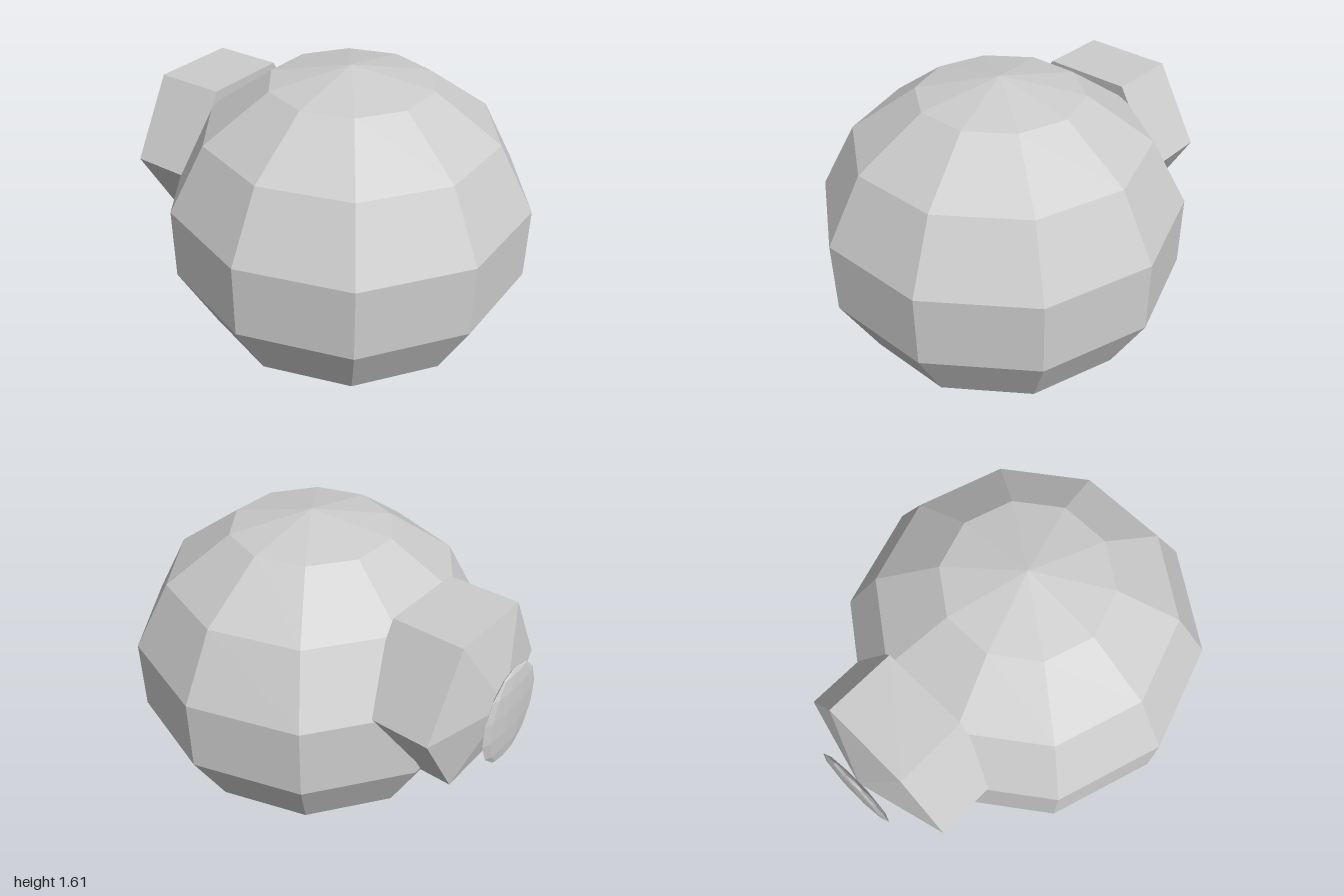
import * as THREE from 'three';

export function createModel() {
  const model = new THREE.Group();
  const grey = new THREE.MeshStandardMaterial({ color: 0xcccccc, flatShading: true });
  grey.name = 'grey';

  const add = (name, geometry, x, y, z) => {
    const mesh = new THREE.Mesh(geometry, grey);
    mesh.name = name;
    mesh.position.set(x, y, z);
    model.add(mesh);
  };

  // Faceted ellipsoid with ten sides and seven rings
  const ellipsoid = (rx, ry, rz) => new THREE.SphereGeometry(1, 10, 7).scale(rx, ry, rz);

  // Large rounded body
  add('body', ellipsoid(0.907, 0.8025, 0.907), 0, 0.8025, 0.157);

  // Six-sided neck pointing backwards, closed by a shallow cone
  const profile = [[0, 0.485], [0.447, 0.485], [0.447, 0.84], [0, 0.955]]
    .map(([r, h]) => new THREE.Vector2(r, h));
  const neck = new THREE.LatheGeometry(profile, 6, Math.PI / 6).rotateX(-Math.PI / 2);
  add('neck', neck, 0, 0.9925, 0);

  // Thin oval disc at the end of the neck
  add('endDisc', ellipsoid(0.22, 0.26, 0.026), 0, 0.965, -0.976);

  return model;
}
